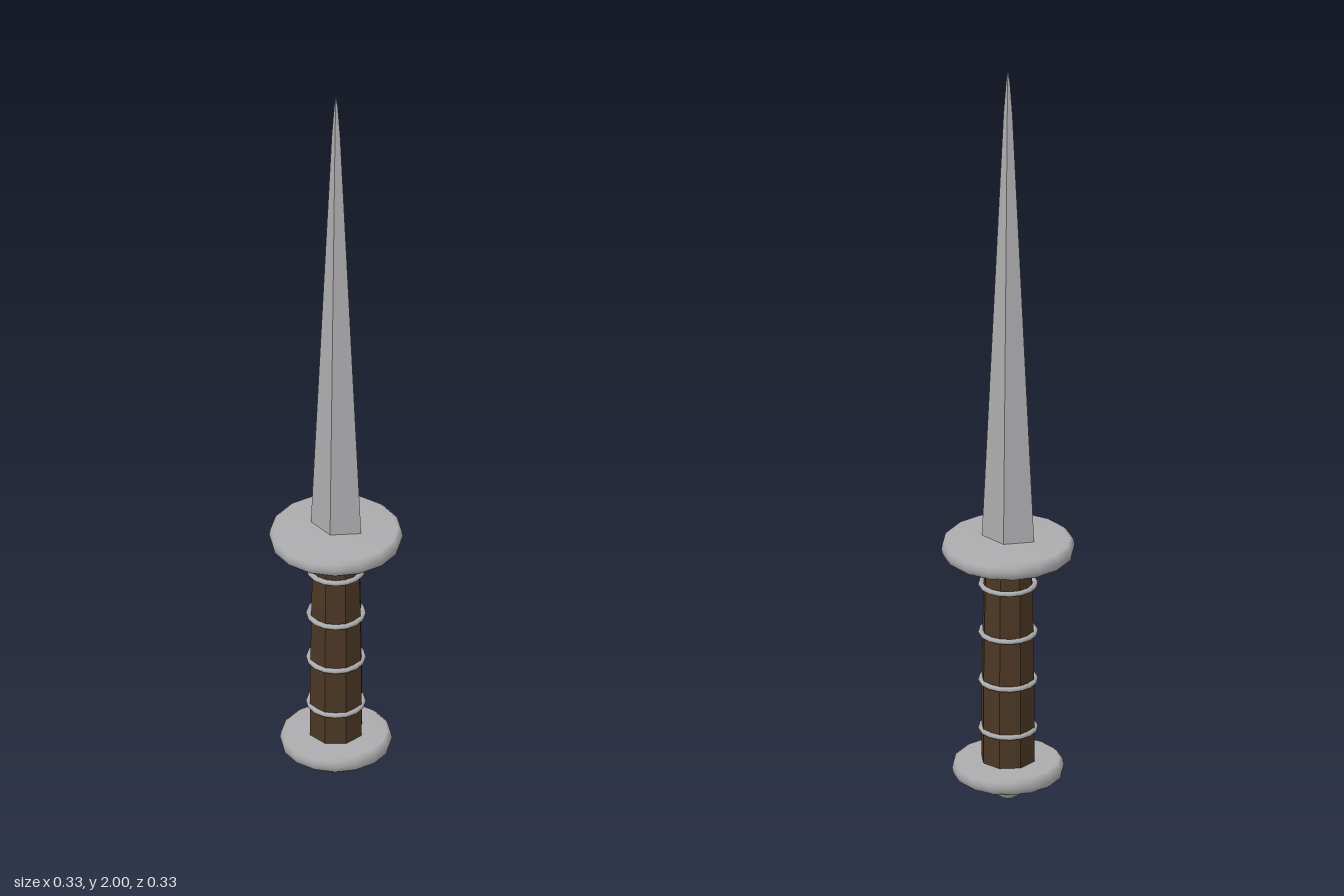
import * as THREE from 'three';

export function createModel() {
  const dagger = new THREE.Group();
  dagger.name = 'dagger';
  const steel = new THREE.MeshStandardMaterial({ color: 0xacacae });
  steel.name = 'steel';
  const wood = new THREE.MeshStandardMaterial({ color: 0x4b3724 });
  wood.name = 'dark wood';

  const add = (name, geometry, material, y = 0) => {
    const mesh = new THREE.Mesh(geometry, material);
    mesh.name = name;
    mesh.position.y = y;
    dagger.add(mesh);
    return mesh;
  };
  const lathe = (points, sides) =>
    new THREE.LatheGeometry(points.map(([r, y]) => new THREE.Vector2(r, y)), sides);
  const flat = (geometry) => {
    const g = geometry.toNonIndexed();
    g.computeVertexNormals();
    return g;
  };

  // Diamond-section blade, tapering faster at the point
  const blade = lathe([[0.069, 0.7], [0.0115, 1.88], [0.005, 1.965], [0, 2]], 4);
  blade.scale(1, 1, 0.54);
  add('blade', flat(blade), steel);

  // Round discs with softened rims
  const disc = (r, h) => lathe([
    [0, -h], [r - 0.012, -h], [r - 0.003, -h * 0.65], [r, 0],
    [r - 0.003, h * 0.65], [r - 0.012, h], [0, h],
  ], 16);
  add('guard', disc(0.167, 0.022), steel, 0.69);
  add('pommelDisc', disc(0.14, 0.022), steel, 0.088);
  add('pommelKnob', new THREE.SphereGeometry(0.042, 16, 12), steel, 0.044);

  // Eight-sided grip, a little wider at the foot
  add('grip', flat(lathe([[0.069, 0.1], [0.069, 0.3], [0.066, 0.5], [0.061, 0.68]], 8)), wood);

  // Wire bands round the grip
  [0.196, 0.328, 0.459, 0.59].forEach((y, i) => {
    const ring = new THREE.TorusGeometry(0.068, 0.007, 8, 16);
    ring.rotateX(Math.PI / 2);
    add('gripBand' + (i + 1), ring, steel, y);
  });

  return dagger;
}
